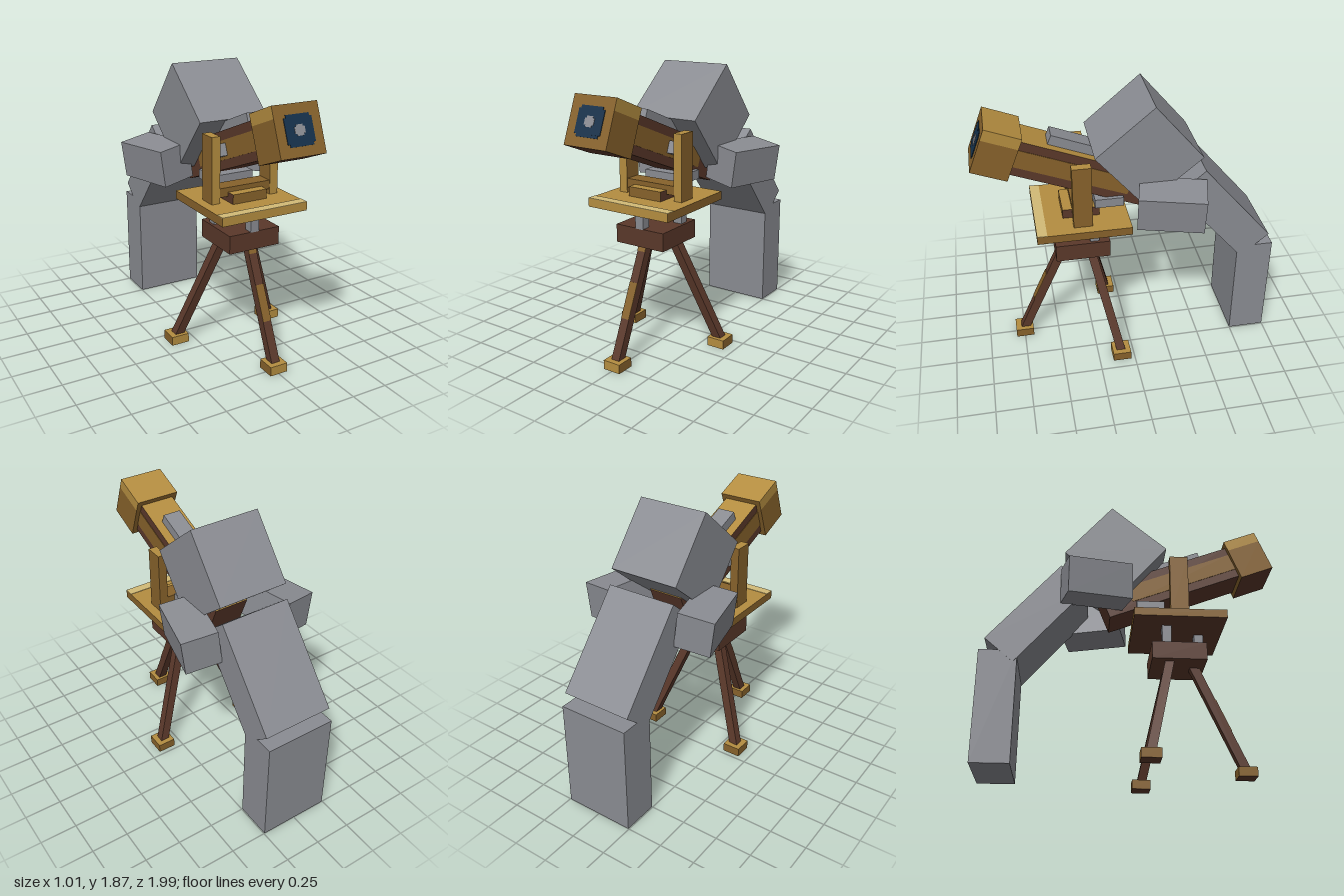
import * as THREE from 'three';

export function createModel() {
  const root = new THREE.Group();
  const mat = (name, color) => {
    const m = new THREE.MeshStandardMaterial({ color });
    m.name = name;
    return m;
  };
  const grey = mat('grey', 0x8a8c92);
  const gold = mat('gold', 0xb48d40);
  const darkGold = mat('dark gold', 0x87622b);
  const paleGold = mat('pale gold', 0xd2ba76);
  const brown = mat('brown', 0x5a382a);
  const navy = mat('navy', 0x14304a);

  // Face order: left, right, top, bottom, front, back
  const gilded = [darkGold, darkGold, gold, brown, gold, darkGold];

  function box(name, size, pos, material, parent = root, rx = 0) {
    const mesh = new THREE.Mesh(new THREE.BoxGeometry(...size), material);
    mesh.name = name;
    mesh.position.set(...pos);
    mesh.rotation.x = rx;
    parent.add(mesh);
    return mesh;
  }

  // Square strut running from a to b
  function strut(name, a, b, width, material) {
    const p = new THREE.Vector3(...a), q = new THREE.Vector3(...b);
    const dir = q.clone().sub(p);
    const mid = p.clone().add(q).multiplyScalar(0.5);
    const mesh = box(name, [width, dir.length(), width], mid.toArray(), material);
    mesh.quaternion.setFromUnitVectors(new THREE.Vector3(0, -1, 0), dir.normalize());
    return mesh;
  }

  // Stooping figure
  const figure = new THREE.Group();
  figure.name = 'observer';
  root.add(figure);
  box('legs', [0.49, 0.75, 0.25], [0, 0.375, -0.875], grey, figure);
  box('torso', [0.492, 0.735, 0.25], [0, 1.029, -0.633], grey, figure, 0.705);
  box('head', [0.494, 0.495, 0.495], [0, 1.523, -0.12], grey, figure, 0.7);

  // Arms, turned inward and tilted
  for (const s of [1, -1]) {
    const x = new THREE.Vector3(0.965, -0.124 * s, 0.232 * s).normalize();
    const y = new THREE.Vector3(0.13 * s, 0.99, 0);
    y.addScaledVector(x, -y.dot(x)).normalize();
    const z = new THREE.Vector3().crossVectors(x, y);
    const arm = box(s > 0 ? 'leftArm' : 'rightArm', [0.242, 0.245, 0.43], [0.325 * s, 1.213, -0.252], grey, figure);
    arm.quaternion.setFromRotationMatrix(new THREE.Matrix4().makeBasis(x, y, z));
  }

  // Telescope, built along its own z axis
  const scope = new THREE.Group();
  scope.name = 'telescope';
  scope.position.set(0, 1.36, 0.255);
  scope.rotation.x = -0.377;
  root.add(scope);
  box('tube', [0.245, 0.24, 0.98], [0, 0, 0.005], [brown, brown, gold, brown, brown, brown], scope);
  for (const s of [1, -1]) {
    box('tubeSideBand', [0.005, 0.122, 0.79], [0.1235 * s, 0, 0.1], darkGold, scope);
    box('pivot', [0.064, 0.08, 0.08], [0.154 * s, 0, 0.06], grey, scope);
  }
  box('sight', [0.125, 0.065, 0.42], [0, 0.152, 0.1], grey, scope);

  // Front housing with a lighter upper rim
  box('housingRim', [0.312, 0.075, 0.243], [0, 0.117, 0.613], [gold, gold, gold, gold, darkGold, darkGold], scope);
  box('housing', [0.312, 0.232, 0.243], [0, -0.0365, 0.613],
    [darkGold, darkGold, darkGold, brown, darkGold, darkGold], scope);

  // Lens and glint with stepped corners
  box('lens', [0.19, 0.15, 0.008], [0, 0, 0.735], navy, scope);
  box('lens', [0.16, 0.185, 0.007], [0, 0, 0.735], navy, scope);
  box('glint', [0.07, 0.04, 0.006], [0, 0, 0.739], grey, scope);
  box('glint', [0.045, 0.065, 0.005], [0, 0, 0.739], grey, scope);

  // Platform and cradle
  box('platform', [0.62, 0.056, 0.62], [0, 1.028, 0.31], gilded);
  box('platformTrim', [0.62, 0.004, 0.066], [0, 1.057, 0.587], paleGold);
  for (const s of [1, -1]) box('post', [0.06, 0.44, 0.125], [0.216 * s, 1.272, 0.313], gilded);
  box('crossbar', [0.372, 0.06, 0.115], [0, 1.122, 0.313], [darkGold, darkGold, darkGold, brown, darkGold, darkGold]);
  box('cradleBlock', [0.25, 0.064, 0.245], [0, 1.088, 0.311], [brown, brown, gold, brown, darkGold, brown]);
  box('clamp', [0.3, 0.062, 0.19], [0, 1.157, 0.125], grey);

  // Columns, hub, legs and feet of the tripod
  box('hub', [0.37, 0.122, 0.367], [0, 0.811, 0.312], brown);
  const tripod = [
    { column: [0, 0.465], top: [0, 0.77, 0.42], foot: [0, 0.748] },
    { column: [0.135, 0.23], top: [0.098, 0.77, 0.255], foot: [0.37, 0.092] },
    { column: [-0.135, 0.23], top: [-0.098, 0.77, 0.255], foot: [-0.37, 0.092] },
  ];
  tripod.forEach(({ column, top, foot }, i) => {
    box('column', [0.062, 0.135, 0.062], [column[0], 0.936, column[1]], grey);
    const leg = strut('tripodLeg', top, [foot[0], 0.04, foot[1]], 0.06, brown);
    if (i === 0) {
      box('legBand', [0.06, 0.24, 0.005], [0, 0, 0.031], darkGold, leg);
      box('legCollar', [0.06, 0.07, 0.005], [0, 0.36, 0.031], darkGold, leg);
    }
    box('foot', [0.125, 0.062, 0.125], [foot[0], 0.031, foot[1]], gilded);
  });

  return root;
}
